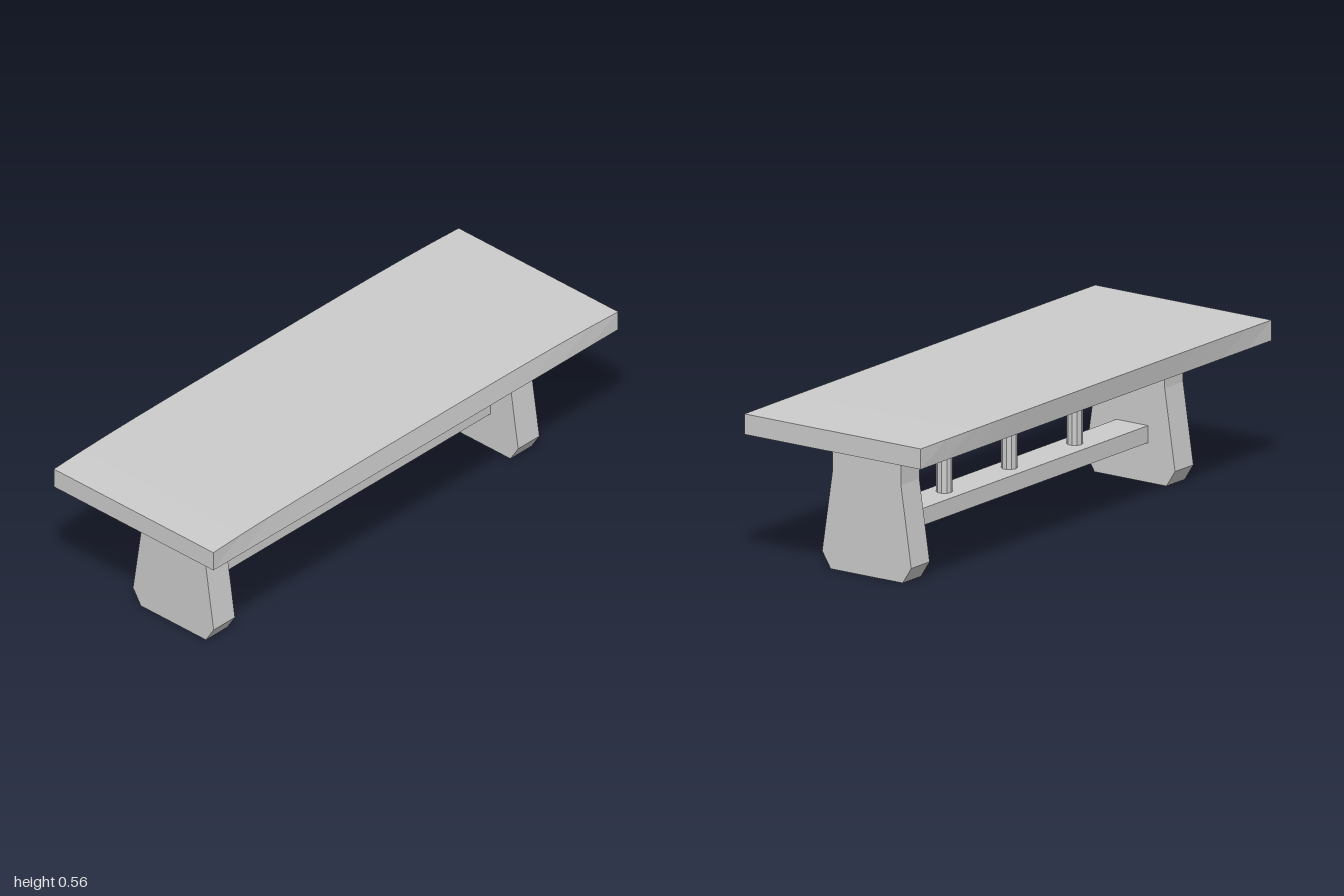
import * as THREE from 'three';

const material = new THREE.MeshStandardMaterial({ color: 0xcccccc, flatShading: true });

function addPart(group, name, geometry, x, y, z) {
  const mesh = new THREE.Mesh(geometry, material);
  mesh.name = name;
  mesh.position.set(x, y, z);
  group.add(mesh);
  return mesh;
}

// Slab whose upper face bows slightly up and back towards the middle
function tabletopGeometry() {
  const geometry = new THREE.BoxGeometry(2, 0.072, 0.74, 14, 1, 1);
  const pos = geometry.attributes.position;
  for (let i = 0; i < pos.count; i++) {
    if (pos.getY(i) < 0) continue;
    const bow = 1 - Math.pow(pos.getX(i), 4);
    pos.setY(i, pos.getY(i) + 0.005 * bow);
    pos.setZ(i, pos.getZ(i) - 0.009 * bow);
  }
  geometry.computeVertexNormals();
  return geometry;
}

// Flared slab leg with chamfered feet, extruded along x
function legGeometry(thickness) {
  const half = [[0.151, 0], [0.187, 0.057], [0.144, 0.342], [0.144, 0.482]];
  const outline = [...half, ...half.map(([z, y]) => [-z, y]).reverse()];
  const shape = new THREE.Shape(outline.map(([z, y]) => new THREE.Vector2(z, y)));
  const geometry = new THREE.ExtrudeGeometry(shape, { depth: thickness, bevelEnabled: false });
  geometry.translate(0, 0, -thickness / 2);
  geometry.rotateY(Math.PI / 2);
  return geometry;
}

export function createModel() {
  const group = new THREE.Group();
  group.name = 'table';

  addPart(group, 'tabletop', tabletopGeometry(), 0, 0.516, 0.005);

  // Slab legs
  const leg = legGeometry(0.105);
  addPart(group, 'leftLeg', leg, 0.752, 0, 0.006);
  addPart(group, 'rightLeg', leg, -0.752, 0, 0.006);

  // Stretcher between the legs
  addPart(group, 'stretcher', new THREE.BoxGeometry(1.41, 0.06, 0.133), 0, 0.17, -0.002);

  // Spindles from stretcher to tabletop
  const spindle = new THREE.CylinderGeometry(0.028, 0.028, 0.284, 10);
  for (const x of [-0.373, 0, 0.37]) addPart(group, 'spindle', spindle, x, 0.34, 0);

  return group;
}
